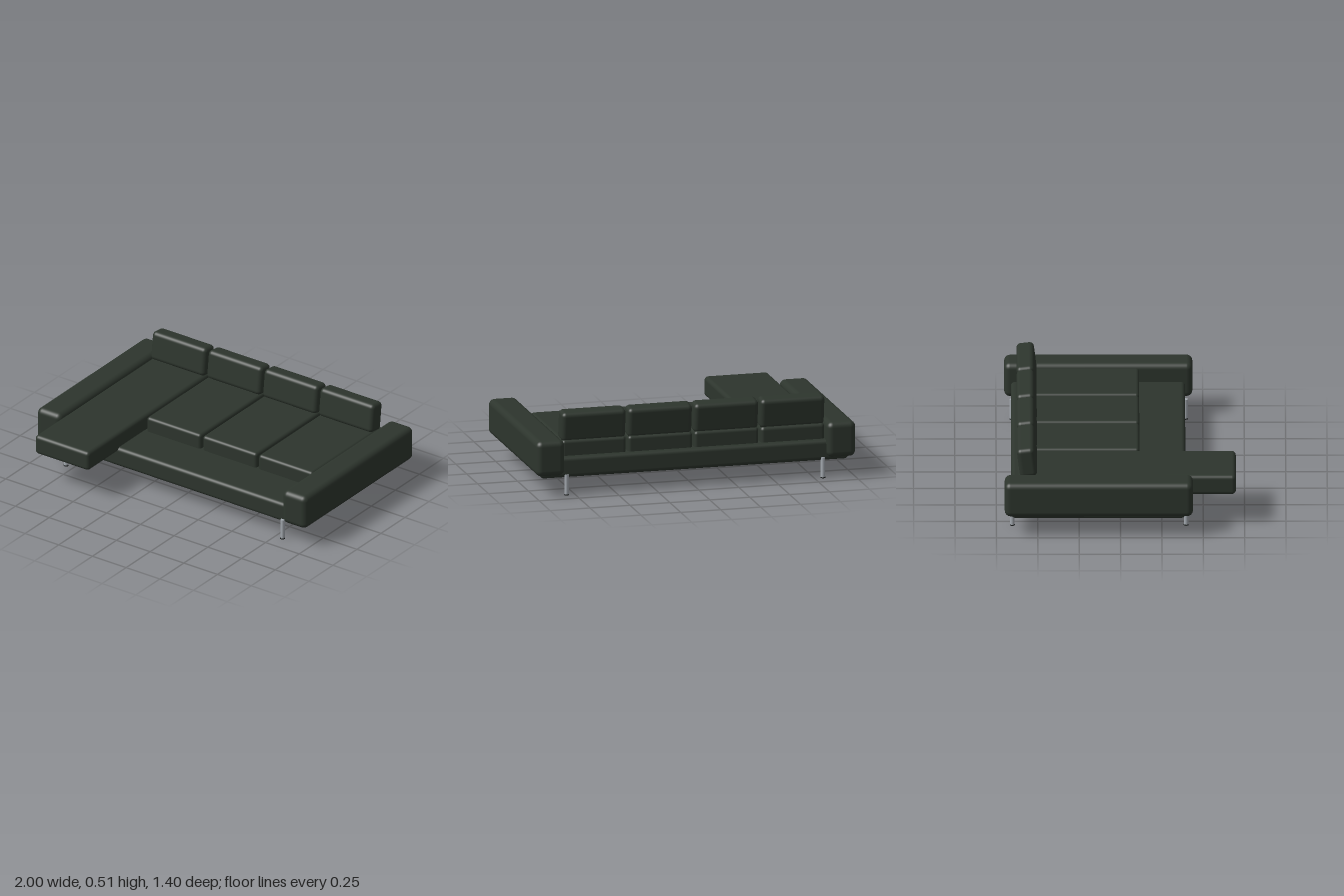
import * as THREE from 'three';
import { RoundedBoxGeometry } from 'three/addons/geometries/RoundedBoxGeometry.js';

const upholstery = new THREE.MeshStandardMaterial({ color: 0x2d352d });
upholstery.name = 'darkGreenUpholstery';
const metal = new THREE.MeshStandardMaterial({ color: 0xa3a9af });
metal.name = 'brushedMetal';
const rubber = new THREE.MeshStandardMaterial({ color: 0x1c1f1e });
rubber.name = 'darkRubber';

// Rounded block given by its extents on each axis
function block(name, [x0, x1], [y0, y1], [z0, z1], radius) {
  const geometry = new RoundedBoxGeometry(x1 - x0, y1 - y0, z1 - z0, 5, radius);
  const mesh = new THREE.Mesh(geometry, upholstery);
  mesh.name = name;
  mesh.position.set((x0 + x1) / 2, (y0 + y1) / 2, (z0 + z1) / 2);
  return mesh;
}

function cylinder(name, radius, y0, y1, material) {
  const mesh = new THREE.Mesh(new THREE.CylinderGeometry(radius, radius, y1 - y0, 24), material);
  mesh.name = name;
  mesh.position.y = (y0 + y1) / 2;
  return mesh;
}

export function createModel() {
  const sofa = new THREE.Group();
  sofa.name = 'sectionalSofa';

  // Wide platform
  sofa.add(block('base', [-0.965, 0.965], [0.108, 0.235], [-0.66, 0.393], 0.025));

  // Low armrests
  sofa.add(block('leftArm', [0.822, 1], [0.13, 0.35], [-0.7, 0.437], 0.036));
  sofa.add(block('rightArm', [-1, -0.822], [0.13, 0.35], [-0.7, 0.437], 0.036));

  // Seat and back cushions; the one on the right is a long chaise
  [-0.625, -0.21, 0.205, 0.62].forEach((x, i) => {
    const span = [x - 0.201, x + 0.201];
    if (i === 0) sofa.add(block('chaiseCushion', span, [0.205, 0.33], [-0.62, 0.697], 0.024));
    else sofa.add(block('seatCushion', span, [0.215, 0.33], [-0.62, 0.115], 0.02));

    const back = block('backCushion', span, [0.32, 0.505], [-0.618, -0.512], 0.027);
    back.rotation.x = -0.12;
    sofa.add(back);
  });

  // Slim corner legs with dark feet
  for (const x of [-0.803, 0.803]) {
    for (const z of [-0.654, 0.397]) {
      const leg = new THREE.Group();
      leg.name = 'leg';
      leg.add(cylinder('legTube', 0.0135, 0.006, 0.13, metal));
      leg.add(cylinder('foot', 0.015, 0, 0.006, rubber));
      leg.position.set(x, 0, z);
      sofa.add(leg);
    }
  }
  return sofa;
}
